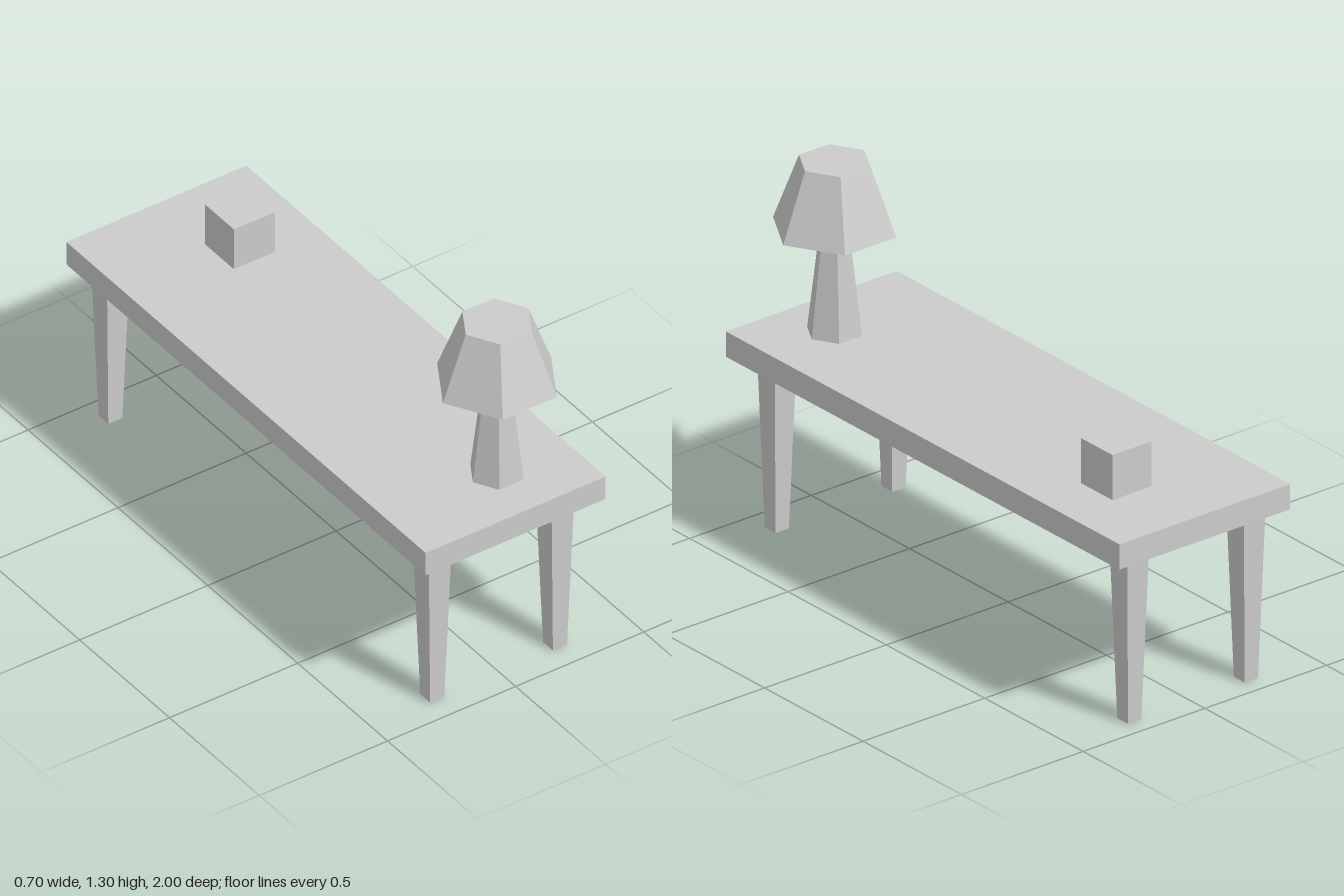
import * as THREE from 'three';

const material = new THREE.MeshStandardMaterial({ color: 0xcccccc, flatShading: true });

function addMesh(parent, name, geometry, x, y, z) {
  const mesh = new THREE.Mesh(geometry, material);
  mesh.name = name;
  mesh.position.set(x, y, z);
  parent.add(mesh);
  return mesh;
}

// Closed six-sided solid from [radius, height] pairs, with corners on the x axis
function hexSolid(profile) {
  const points = profile.map(([r, y]) => new THREE.Vector2(r, y));
  return new THREE.LatheGeometry(points, 6, Math.PI / 6);
}

export function createModel() {
  const model = new THREE.Group();
  model.name = 'tableWithLamp';

  const topY = 0.69;

  // Table top
  addMesh(model, 'tableTop', new THREE.BoxGeometry(0.702, 0.09, 2), 0, 0.645, 0);

  // Square legs, tapering towards the floor
  const legHeight = 0.6;
  const leg = new THREE.CylinderGeometry(0.0445 * Math.SQRT2, 0.0275 * Math.SQRT2, legHeight, 4);
  leg.rotateY(Math.PI / 4);
  for (const [side, x] of [['Left', 0.234], ['Right', -0.245]]) {
    for (const [end, z] of [['front', 0.885], ['back', -0.906]]) {
      addMesh(model, `${end}${side}Leg`, leg, x, legHeight / 2, z);
    }
  }

  // Small block on the back of the table
  addMesh(model, 'block', new THREE.BoxGeometry(0.16, 0.16, 0.16), 0.085, topY + 0.08, -0.655);

  // Hexagonal lamp: bevelled base, thin neck and tapered shade
  const lamp = new THREE.Group();
  lamp.name = 'lamp';
  lamp.position.set(0.08, topY, 0.782);
  addMesh(lamp, 'lampBase', hexSolid([[0, 0], [0.094, 0], [0.053, 0.342], [0.045, 0.354], [0, 0.354]]), 0, 0, 0);
  addMesh(lamp, 'lampNeck', hexSolid([[0, 0.34], [0.026, 0.34], [0.026, 0.38], [0, 0.38]]), 0, 0, 0);
  addMesh(lamp, 'lampShade', hexSolid([[0, 0.37], [0.211, 0.37], [0.122, 0.606], [0, 0.606]]), 0, 0, 0);
  model.add(lamp);

  return model;
}
